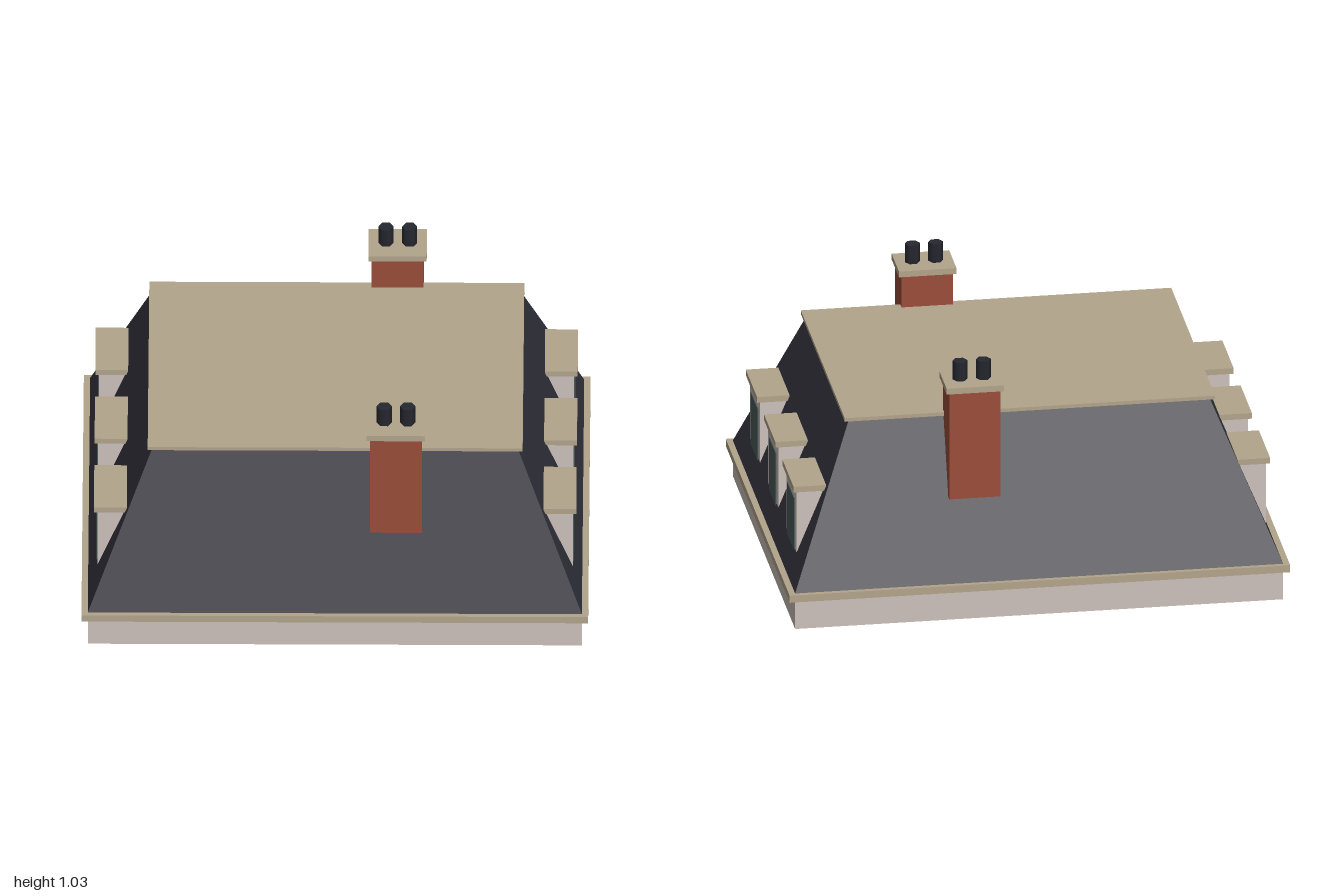
import * as THREE from 'three';

const flat = (name, color) => new THREE.MeshStandardMaterial({ name, color });

export function createModel() {
  const model = new THREE.Group();
  model.name = 'mansardRoof';

  const wall = flat('paleStone', 0xcdc1bc);
  wall.side = THREE.DoubleSide;
  const trim = flat('tanStone', 0xb3a58c);
  const slate = flat('darkSlate', 0x30313a);
  const brick = flat('redBrick', 0x9b4d39);
  const glass = flat('windowGlass', 0x4b5c5b);
  const clay = flat('chimneyPotBlack', 0x262830);

  const add = (parent, name, geometry, material) => {
    const mesh = new THREE.Mesh(geometry, material);
    mesh.name = name;
    parent.add(mesh);
    return mesh;
  };

  // Box given by its centre in x and z, and its bottom and top heights
  const box = (parent, name, material, x, z, w, d, y0, y1) =>
    add(parent, name, new THREE.BoxGeometry(w, y1 - y0, d), material)
      .position.set(x, (y0 + y1) / 2, z);

  // Open four-sided ring, tapering from the bottom half sizes to the top ones
  const fourSides = (bottom, top, y0, y1) => {
    const indexed = new THREE.CylinderGeometry(Math.SQRT2, Math.SQRT2, 1, 4, 1, true);
    const geo = indexed.rotateY(Math.PI / 4).toNonIndexed();
    const p = geo.attributes.position;
    for (let i = 0; i < p.count; i++) {
      const upper = p.getY(i) > 0;
      const half = upper ? top : bottom;
      p.setXYZ(i, p.getX(i) * half[0], upper ? y1 : y0, p.getZ(i) * half[1]);
    }
    geo.computeVertexNormals();
    return geo;
  };

  // Wall band, hollow below the cornice, and the sloping roof
  add(model, 'wallBand', fourSides([0.975, 0.79], [0.975, 0.79], 0, 0.122), wall);
  box(model, 'cornice', trim, 0, 0, 2, 1.62, 0.122, 0.152);
  add(model, 'roofSlopes', fourSides([0.975, 0.79], [0.72, 0.535], 0.152, 0.775), slate);
  box(model, 'roofTop', trim, 0, 0, 1.48, 1.114, 0.775, 0.79);

  // Chimneys at front and back, each with two six-sided pots
  for (const side of [1, -1]) {
    const chimney = new THREE.Group();
    chimney.name = side > 0 ? 'frontChimney' : 'backChimney';
    const z = side * 0.605;
    box(chimney, 'chimneyStack', brick, 0.24, z, 0.205, 0.162, 0.47, 0.924);
    box(chimney, 'chimneyCap', trim, 0.24, z, 0.23, 0.185, 0.924, 0.949);
    for (const x of [0.194, 0.287]) {
      const pot = add(chimney, 'chimneyPot',
        new THREE.CylinderGeometry(0.03, 0.03, 0.08, 6).rotateY(Math.PI / 6), clay);
      pot.position.set(x, 0.988, z);
    }
    model.add(chimney);
  }

  // Three dormers on each side
  for (const side of [1, -1]) {
    for (const z of [-0.463, 0, 0.463]) {
      const dormer = new THREE.Group();
      dormer.name = side > 0 ? 'leftDormer' : 'rightDormer';
      box(dormer, 'dormerBody', wall, side * 0.869, z, 0.138, 0.257, 0.24, 0.506);
      box(dormer, 'dormerRoof', trim, side * 0.887, z, 0.13, 0.285, 0.506, 0.53);
      box(dormer, 'dormerWindow', glass, side * 0.938, z, 0.008, 0.17, 0.235, 0.457);
      model.add(dormer);
    }
  }

  return model;
}
